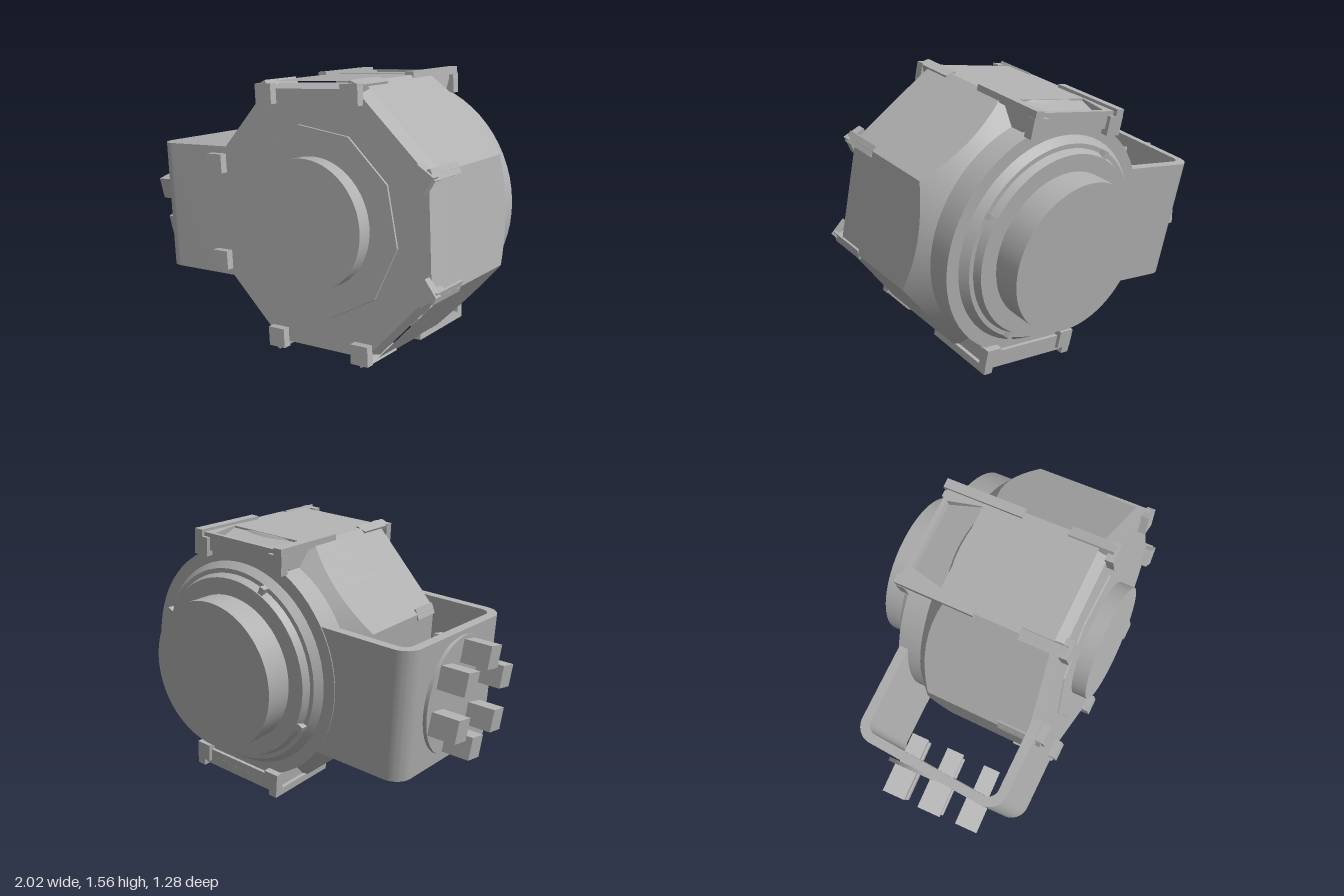
import * as THREE from 'three';
import { toCreasedNormals } from 'three/addons/utils/BufferGeometryUtils.js';

const APOTHEM = 0.68; // octagonal housing, flat to centre
const HALF = 0.275; // half the width of one flat

export function createModel() {
  const grey = new THREE.MeshStandardMaterial({ color: 0xb0b0b0 });
  grey.name = 'casing grey';
  const model = new THREE.Group();
  const unit = new THREE.Group();
  unit.name = 'tiltedUnit';
  model.add(unit);

  const add = (name, geometry, parent = unit) => {
    const mesh = new THREE.Mesh(geometry, grey);
    mesh.name = name;
    parent.add(mesh);
    return mesh;
  };
  const box = (name, w, h, d, x, y, z, parent) => {
    const mesh = add(name, new THREE.BoxGeometry(w, h, d), parent);
    mesh.position.set(x, y, z);
    return mesh;
  };
  // Drum along z, from the back face to the front face
  const drum = (name, rBack, rFront, zBack, zFront, sides = 64, turn = 0) => {
    const g = new THREE.CylinderGeometry(rFront, rBack, zFront - zBack, sides);
    g.rotateY(turn);
    g.rotateX(Math.PI / 2);
    g.translate(0, 0, (zBack + zFront) / 2);
    return add(name, sides < 20 ? toCreasedNormals(g, 0.3) : g);
  };

  // Octagonal housing, cut by a cone at the back so its edge is scalloped
  const N = 64, ROWS = 4, positions = [], index = [];
  for (let j = 0; j <= N; j++) {
    const a = (j / N) * Math.PI * 2;
    const step = Math.PI / 4;
    const octagon = APOTHEM / Math.cos(a - Math.round(a / step) * step);
    const profile = [[octagon, 0.45], [octagon, octagon - 0.86], [0.62, -0.24], [0.62, -0.3]];
    profile.forEach(([r, z], i) => {
      positions.push(r * Math.cos(a), r * Math.sin(a), z);
      if (i < ROWS - 1 && j < N) {
        const p = j * ROWS + i, q = p + ROWS;
        index.push(p, p + 1, q, q, p + 1, q + 1);
      }
    });
  }
  const shell = new THREE.BufferGeometry();
  shell.setAttribute('position', new THREE.Float32BufferAttribute(positions, 3));
  shell.setIndex(index);
  add('housing', toCreasedNormals(shell, 0.45));

  // Front cover and hub
  drum('frontCover', 0.725, 0.7, 0.42, 0.5, 8, Math.PI / 8);
  drum('frontPad', 0.485, 0.48, 0.49, 0.508, 10, 0.15);
  drum('frontHub', 0.325, 0.325, 0.49, 0.588);

  // Back flange, stepped ring and drum
  drum('backFlange', 0.63, 0.63, -0.36, -0.22);
  drum('backStep', 0.53, 0.57, -0.4, -0.35);
  drum('backRing', 0.49, 0.51, -0.44, -0.39);
  drum('backDrum', 0.4, 0.4, -0.59, -0.43);
  for (let i = 0; i < 4; i++) {
    const a = (i / 4) * Math.PI * 2 + 0.4;
    const rib = box('ringRib', 0.06, 0.03, 0.07, 0.5 * Math.cos(a), 0.5 * Math.sin(a), -0.4);
    rib.rotation.z = a;
  }

  // Clips on the eight front corners: a rail along the edge and a hooked tab
  for (let i = 0; i < 8; i++) {
    const a = Math.PI / 8 + (i * Math.PI) / 4;
    const c = Math.cos(a), s = Math.sin(a);
    const clip = new THREE.Group();
    clip.name = 'frontClip';
    unit.add(clip);
    const turn = i === 0 ? -0.6 : i === 7 ? 0.6 : 0;
    box('clipTab', 0.1, 0.1, 0.045, 0.675 * c, 0.675 * s, 0.518, clip).rotation.z = turn;
    box('clipRail', 0.04, 0.06, 0.24, 0.715 * c, 0.715 * s, 0.405, clip).rotation.z = a;
  }

  // Back brackets above and below: open frame, sloping floor, rails and tabs
  const frame = new THREE.Shape();
  frame.moveTo(-HALF, -0.38).lineTo(HALF, -0.38).lineTo(HALF, -0.08).lineTo(-HALF, -0.08);
  const opening = new THREE.Path();
  opening.moveTo(-0.19, -0.355).lineTo(-0.23, -0.17).lineTo(0.23, -0.17).lineTo(0.19, -0.355);
  frame.holes.push(opening);
  const frameGeometry = new THREE.ExtrudeGeometry(frame, { depth: 0.05, bevelEnabled: false });
  frameGeometry.rotateX(Math.PI / 2);
  const gusset = new THREE.Shape();
  gusset.moveTo(0.1, 0.67).lineTo(0.1, 0.5).lineTo(0.3, 0.55).lineTo(0.37, 0.67);
  const gussetGeometry = new THREE.ExtrudeGeometry(gusset, { depth: 0.05, bevelEnabled: false });
  gussetGeometry.rotateY(Math.PI / 2);
  for (const turn of [0, Math.PI]) {
    const bracket = new THREE.Group();
    bracket.name = turn ? 'lowerBracket' : 'upperBracket';
    bracket.rotation.z = turn;
    unit.add(bracket);
    add('bracketFrame', frameGeometry, bracket).position.y = APOTHEM + 0.002;
    box('bracketFloor', 0.48, 0.03, 0.24, 0, 0.64, -0.25, bracket).rotation.x = -0.2;
    box('bracketLip', 0.5, 0.08, 0.025, 0, 0.63, -0.367, bracket);
    for (const side of [-1, 1]) {
      box('bracketRail', 0.05, 0.04, 0.44, side * 0.272, 0.677, -0.18, bracket);
      box('bracketTab', 0.09, 0.1, 0.05, side * 0.255, 0.61, -0.375, bracket);
      add('bracketGusset', gussetGeometry, bracket).position.x = side * 0.25 - 0.025;
    }
  }

  // U-shaped side handle, open above and below, a little shorter at the back
  const L = -1.075, K = -1.045, T = 0.05, F = 0.5, B = -0.355, R = 0.1, r = 0.055, E = -0.5;
  const band = new THREE.Shape();
  band.moveTo(E, B).lineTo(E, B + T).lineTo(K + T + r, B + T);
  band.absarc(K + T + r, B + T + r, r, -Math.PI / 2, -Math.PI, true);
  band.lineTo(L + T, F - T - r);
  band.absarc(L + T + r, F - T - r, r, Math.PI, Math.PI / 2, true);
  band.lineTo(E, F - T).lineTo(E, F).lineTo(L + R, F);
  band.absarc(L + R, F - R, R, Math.PI / 2, Math.PI, false);
  band.lineTo(K, B + R);
  band.absarc(K + R, B + R, R, Math.PI, Math.PI * 1.5, false);
  const bandGeometry = new THREE.ExtrudeGeometry(band, { depth: 0.69, bevelEnabled: false, curveSegments: 8 });
  bandGeometry.rotateX(Math.PI / 2);
  bandGeometry.translate(0, 0.345, 0);
  add('sideHandle', toCreasedNormals(bandGeometry, 0.5));

  // Round pad with six square studs, each with a narrower end inside the handle
  const studs = new THREE.Group();
  studs.name = 'studCluster';
  studs.position.set(-1.062, 0, 0.095);
  studs.rotation.y = 0.035;
  unit.add(studs);
  const pad = new THREE.CylinderGeometry(0.32, 0.32, 0.02, 40);
  pad.rotateZ(Math.PI / 2);
  add('studPad', pad, studs);
  for (let i = 0; i < 6; i++) {
    const a = (i * Math.PI) / 3 + 0.22;
    const y = 0.235 * Math.cos(a), z = 0.235 * Math.sin(a);
    box('stud', 0.16, 0.12, 0.12, -0.08, y, z, studs).rotation.x = 0.22;
    box('studEnd', 0.16, 0.09, 0.09, 0.09, y, z, studs).rotation.x = 0.22;
  }

  // Lean of the whole unit
  unit.rotation.set(-0.128, 0.064, 0.148, 'YXZ');
  unit.position.set(0.24, 0.778, -0.003);
  return model;
}
